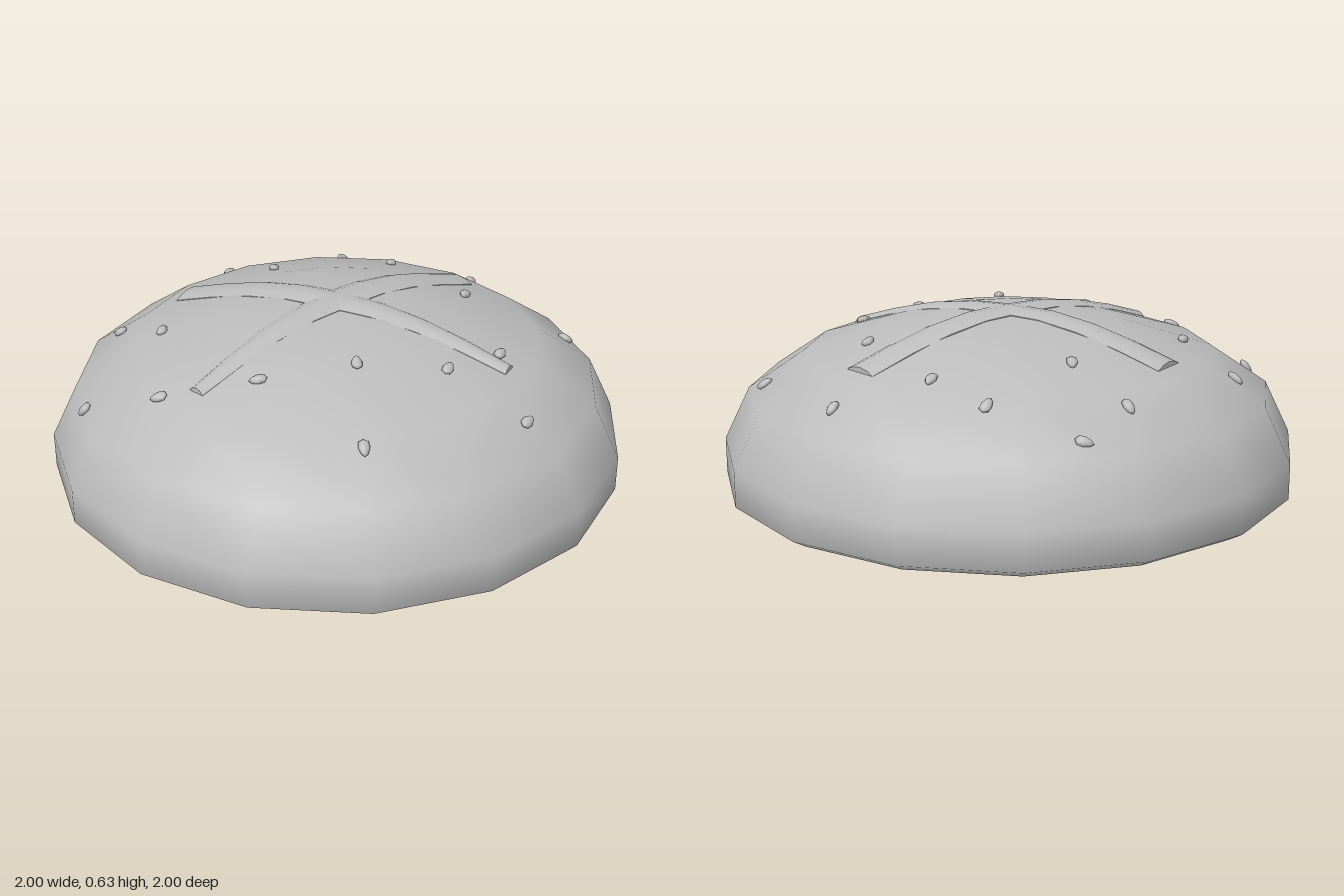
import * as THREE from 'three';
import { toCreasedNormals } from 'three/addons/utils/BufferGeometryUtils.js';

const SIDES = 16;
// Dome profile: radius, height
const PROFILE = [[0.95, 0], [1, 0.03], [1, 0.155], [0.91, 0.34], [0.71, 0.475], [0.4, 0.57], [0.2, 0.605], [0, 0.612]];

// Height of the faceted dome above a ground point
function domeHeight(x, z) {
  const step = (2 * Math.PI) / SIDES;
  const a = Math.atan2(x, z);
  const off = a - (Math.floor(a / step) + 0.5) * step;
  const r = (Math.hypot(x, z) * Math.cos(off)) / Math.cos(step / 2);
  for (let i = PROFILE.length - 1; i > 2; i--) {
    const [r0, y0] = PROFILE[i], [r1, y1] = PROFILE[i - 1];
    if (r <= r1) return y0 + ((r - r0) / (r1 - r0)) * (y1 - y0);
  }
  return PROFILE[2][1];
}

// Raised strip that follows the dome, wide at the back and narrow at the front
function strip(start, middle, end) {
  const section = [[-1, -0.04], [-0.96, 0.002], [-0.5, 0.014], [0, 0.018], [0.5, 0.014], [0.96, 0.002], [1, -0.04]];
  const curve = new THREE.CatmullRomCurve3([start, middle, end].map(([x, z]) => new THREE.Vector3(x, 0, z)));
  const up = new THREE.Vector3(0, 1, 0);
  const rows = 8, n = section.length, pos = [], index = [];
  for (let i = 0; i <= rows; i++) {
    const t = i / rows;
    const p = curve.getPoint(t);
    const side = up.clone().cross(curve.getTangent(t)).normalize();
    const half = t < 0.5 ? 0.072 : 0.072 - (t - 0.5) * 0.08;
    const y = domeHeight(p.x, p.z);
    for (const [s, h] of section) pos.push(p.x + side.x * s * half, y + h, p.z + side.z * s * half);
  }
  for (let i = 0; i < rows; i++) {
    for (let j = 0; j < n - 1; j++) {
      const a = i * n + j, b = a + n;
      index.push(a, b, a + 1, b, b + 1, a + 1);
    }
  }
  // End caps
  for (let j = 1; j < n - 1; j++) {
    const e = rows * n;
    index.push(0, j, j + 1, e, e + j + 1, e + j);
  }
  const g = new THREE.BufferGeometry();
  g.setAttribute('position', new THREE.Float32BufferAttribute(pos, 3));
  g.setIndex(index);
  return toCreasedNormals(g, 0.8);
}

// Flattened teardrop, its narrow end towards -z
function seedGeometry() {
  const g = new THREE.SphereGeometry(1, 8, 6);
  const p = g.attributes.position;
  for (let i = 0; i < p.count; i++) {
    const z = p.getZ(i);
    p.setXYZ(i, p.getX(i) * (0.019 + 0.006 * z), p.getY(i) * 0.013, z * 0.031);
  }
  g.computeVertexNormals();
  return g;
}

export function createModel() {
  const group = new THREE.Group();
  const crust = new THREE.MeshStandardMaterial({ color: 0xbcbcbc });
  crust.name = 'crust grey';

  const add = (name, geometry, parent = group) => {
    const mesh = new THREE.Mesh(geometry, crust);
    mesh.name = name;
    parent.add(mesh);
    return mesh;
  };

  // Loaf body and flat base
  add('loaf', new THREE.LatheGeometry(PROFILE.map(([r, y]) => new THREE.Vector2(r, y)), SIDES));
  add('base', new THREE.CircleGeometry(0.95, SIDES).rotateX(Math.PI / 2));

  // Crossed scores on top
  add('scoreA', strip([-0.505, -0.385], [0.0, -0.02], [0.535, 0.345]));
  add('scoreB', strip([0.5, -0.405], [0.0, -0.02], [-0.5, 0.385]));

  // Seeds: x, z, turn
  const seeds = new THREE.Group();
  seeds.name = 'seeds';
  group.add(seeds);
  const places = [
    [-0.19, -0.82, 1.3], [-0.34, -0.67, 0.5], [0.1, -0.71, 2.6], [0.27, -0.55, -0.4], [0.58, -0.55, -0.6],
    [-0.18, -0.48, 0], [-0.75, -0.25, 1], [-0.6, -0.06, -0.3], [0.48, -0.17, 2.7], [0.84, -0.1, 1.5],
    [-0.87, 0.18, 1.5], [-0.62, 0.35, 1.4], [-0.3, 0.4, 1.6], [0.02, 0.385, 0], [0.32, 0.39, -0.5],
    [0.52, 0.26, -0.6], [0.55, 0.565, -0.7], [0, 0.735, 3.14],
  ];
  const shape = seedGeometry();
  const up = new THREE.Vector3(0, 1, 0);
  for (const [x, z, turn] of places) {
    const e = 0.03;
    const normal = new THREE.Vector3(
      domeHeight(x - e, z) - domeHeight(x + e, z), 2 * e, domeHeight(x, z - e) - domeHeight(x, z + e)).normalize();
    const seed = add('seed', shape, seeds);
    seed.position.set(x, domeHeight(x, z), z).addScaledVector(normal, 0.006);
    seed.quaternion.setFromUnitVectors(up, normal);
    seed.rotateY(turn);
  }
  return group;
}
